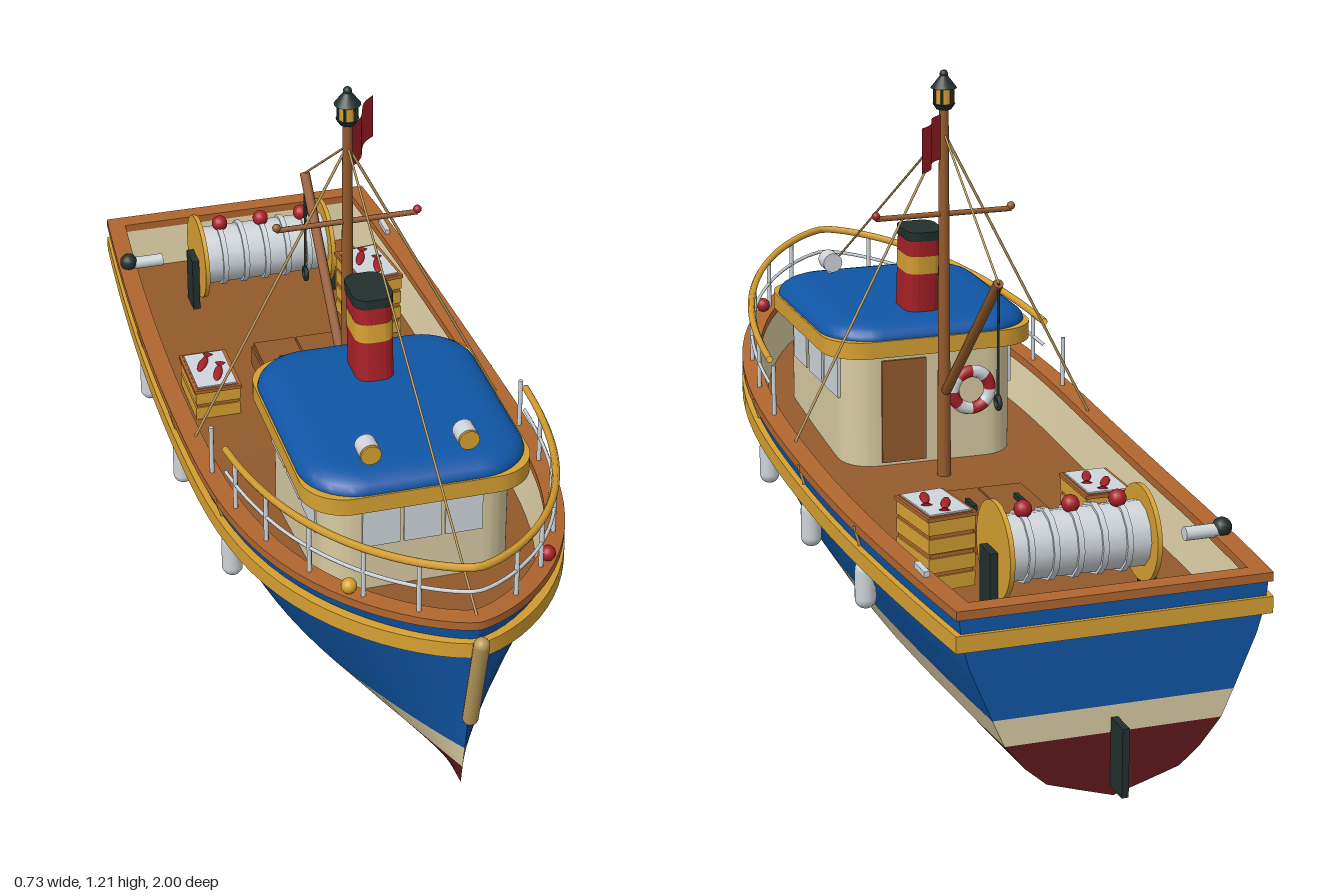
import * as THREE from 'three';
import { toCreasedNormals } from 'three/addons/utils/BufferGeometryUtils.js';

const V = (x, y, z) => new THREE.Vector3(x, y, z);
const paint = (name, color, side = THREE.FrontSide) =>
  Object.assign(new THREE.MeshStandardMaterial({ color, side }), { name });
const D = THREE.DoubleSide;
const blue = paint('hullBlue', 0x1056a6, D), maroon = paint('bottomRed', 0x5c181b, D);
const cream = paint('cream', 0xd8caa2, D), gold = paint('gold', 0xd6a032, D);
const deckWood = paint('deckWood', 0x945a2c, D), railWood = paint('railWood', 0xb0662f, D);
const red = paint('signalRed', 0xa82028, D), white = paint('paleGrey', 0xcfd5da);
const black = paint('darkIron', 0x22302d), rope = paint('rope', 0xb8985a);

// Hull form: t runs from stern (0) to bow (1), f from keel (0) to sheer (1)
const PROFILE = [[0, 0], [0.1, 0.43], [0.2, 0.58], [0.31, 0.7], [0.45, 0.78], [0.8, 0.97], [1, 1]];
const profile = f => {
  for (let i = 1; i < PROFILE.length; i++) {
    const [a, p] = PROFILE[i - 1], [b, q] = PROFILE[i];
    if (f <= b) return p + (q - p) * (f - a) / (b - a);
  }
  return 1;
};
const sheer = t => 0.408 + 0.13 * Math.max(0, (1.905 * t - 0.44) / 1.47) ** 2;
const keel = t => 0.005 + 0.085 * t ** 2.2;
const hullAt = (t, y) => {
  const f = Math.min(1, Math.max(0, (y - keel(t)) / (sheer(t) - keel(t))));
  const end = 0.88 + 0.085 * f, z = -0.94 + t * (end + 0.94);
  const u = Math.min(1, Math.max(0, z / end)), v = Math.max(0, -z / 0.94);
  const x = 0.352 * profile(f) * (1 - u ** (2 + f)) ** (1 - 0.3 * f) * (1 - 0.12 * v * v);
  return V(x, y, z);
};
// Point on the sheer line moved inward by o and up by dy
const edgeAt = (t, o, dy, s = 1) => {
  const p = hullAt(t, sheer(t));
  return V(s * p.x * (1 - o / 0.35), p.y + dy, p.z * (1 - o / 0.96));
};
const N = 32;
const stations = Array.from({ length: N + 1 }, (_, i) => 1 - (1 - i / N) ** 1.7);
const LOOP = [...stations.map(t => [t, 1]), ...stations.slice(0, -1).reverse().map(t => [t, -1]), [0, 1]];

function grid(nu, nv, fn) {
  const pos = [], idx = [];
  for (let i = 0; i <= nu; i++) for (let j = 0; j <= nv; j++) pos.push(...fn(i, j).toArray());
  for (let i = 0; i < nu; i++) for (let j = 0; j < nv; j++) {
    const a = i * (nv + 1) + j, b = a + nv + 1;
    idx.push(a, b, a + 1, b, b + 1, a + 1);
  }
  const g = new THREE.BufferGeometry();
  g.setAttribute('position', new THREE.Float32BufferAttribute(pos, 3));
  g.setIndex(idx);
  return toCreasedNormals(g, 0.6);
}
// Sweep a section of [inset, height] pairs round the sheer line
const belt = sec => grid(LOOP.length - 1, sec.length - 1, (i, j) => edgeAt(LOOP[i][0], sec[j][0], sec[j][1], LOOP[i][1]));

// Rounded rectangle slab lying flat, base at y = 0
function roundRect(w, l, r) {
  const s = new THREE.Shape(), x = w / 2, y = l / 2;
  s.moveTo(x - r, -y).absarc(x - r, -y + r, r, -Math.PI / 2, 0);
  s.absarc(x - r, y - r, r, 0, Math.PI / 2).absarc(-x + r, y - r, r, Math.PI / 2, Math.PI);
  s.absarc(-x + r, -y + r, r, Math.PI, Math.PI * 1.5);
  return s;
}
const slab = (w, l, r, h, bevel = {}) => toCreasedNormals(new THREE.ExtrudeGeometry(roundRect(w, l, r),
  { depth: h, bevelEnabled: false, curveSegments: 8, ...bevel }).rotateX(-Math.PI / 2), 0.6);
const box = (x, y, z) => new THREE.BoxGeometry(x, y, z);
const cyl = (r, h, r2 = r, n = 16) => new THREE.CylinderGeometry(r2, r, h, n);
const ball = r => new THREE.SphereGeometry(r, 14, 10);

export function createModel() {
  const boat = new THREE.Group();
  boat.name = 'fishingBoat';
  const add = (name, geo, mat, x = 0, y = 0, z = 0, parent = boat) => {
    const m = new THREE.Mesh(geo, mat);
    m.name = name;
    m.position.set(x, y, z);
    parent.add(m);
    return m;
  };
  const rod = (name, a, b, r, mat) => {
    const m = add(name, cyl(r, a.distanceTo(b), r, 8), mat);
    m.position.copy(a).lerp(b, 0.5);
    m.quaternion.setFromUnitVectors(V(0, 1, 0), b.clone().sub(a).normalize());
    return m;
  };
  const tube = (name, pts, r, mat) =>
    add(name, new THREE.TubeGeometry(new THREE.CatmullRomCurve3(pts), 72, r, 6), mat);

  // Hull in three painted bands, with the transom
  const bands = [
    ['hullBottom', maroon, [0, 0.15, 0.32, 0.6, 1], keel, () => 0.135],
    ['waterlineBand', cream, [0, 1], () => 0.135, () => 0.19],
    ['hullTopsides', blue, [0, 0.25, 0.5, 0.75, 1], () => 0.19, sheer]];
  for (const [name, mat, rows, lo, hi] of bands) {
    const at = (t, j, s) => {
      const p = hullAt(t, lo(t) + (hi(t) - lo(t)) * rows[j]);
      p.x *= s;
      return p;
    };
    for (const s of [1, -1])
      add(name, grid(N, rows.length - 1, (i, j) => at(stations[s > 0 ? N - i : i], j, s)), mat);
    add(name + 'Transom', grid(1, rows.length - 1, (i, j) => at(0, j, i ? -1 : 1)), mat);
  }
  add('rubbingBand', belt([[0.03, -0.038], [-0.008, -0.038], [-0.008, -0.072], [0.03, -0.072]]), gold);
  add('capRail', belt([[0.034, -0.008], [0.034, 0.01], [-0.007, 0.01], [-0.007, -0.008], [0.034, -0.008]]), railWood);
  add('bulwark', belt([[0.05, -0.1], [0.03, 0]]), cream);
  add('deck', grid(N, 1, (i, j) => edgeAt(stations[i], 0.045, -0.1, j ? 1 : -1)), deckWood);
  add('rudder', box(0.014, 0.14, 0.065), black, 0, 0.095, -0.967);

  // Bow stem fender and side fenders
  const stem = add('stemFender', new THREE.CapsuleGeometry(0.016, 0.22, 6, 12), rope, 0, 0.395, 0.955);
  stem.rotation.x = 0.25;
  for (const s of [1, -1]) for (const [z, y] of [[0.31, 0.31], [-0.07, 0.295], [-0.43, 0.288]]) {
    const t = (z + 0.94) / 1.9, x = hullAt(t, y).x + 0.015;
    add('sideFender', new THREE.CapsuleGeometry(0.022, 0.058, 6, 12), white, s * x, y, z);
    rod('fenderLine', V(s * x, y + 0.04, z), edgeAt(t, -0.009, 0.005, s), 0.003, rope);
  }

  // Bow railing
  const arc = LOOP.filter(([t]) => t >= 0.6).slice(0, -1);
  const line = dy => arc.map(([t, s]) => edgeAt(t, 0.016, dy, s));
  tube('railingTop', line(0.12), 0.008, gold);
  tube('railingMiddle', line(0.065), 0.004, white);
  for (const s of [1, -1]) {
    for (const t of [0.605, 0.69, 0.77, 0.85, 0.92, 0.97])
      rod('railingPost', edgeAt(t, 0.016, 0, s), edgeAt(t, 0.016, 0.12, s), 0.005, white);
    const p = edgeAt(0.905, 0.01, 0.025, s);
    add('sideLight', ball(0.016), s > 0 ? red : gold, p.x, p.y, p.z);
  }

  // Wheelhouse
  add('wheelhouseWalls', slab(0.39, 0.47, 0.07, 0.27), cream, 0, 0.325, 0.365);
  add('roofRim', slab(0.47, 0.54, 0.09, 0.037), gold, 0, 0.588, 0.36);
  add('roof', slab(0.33, 0.4, 0.05, 0.002,
    { bevelEnabled: true, bevelThickness: 0.034, bevelSize: 0.066, bevelSegments: 6 }), blue, 0, 0.623, 0.36);
  for (const s of [1, -1]) {
    for (const z of [0.47, 0.35, 0.23]) add('sideWindow', box(0.008, 0.095, 0.1), white, s * 0.195, 0.528, z);
    add('searchlight', cyl(0.022, 0.04).rotateX(Math.PI / 2), white, s * 0.1, 0.685, 0.555);
    add('searchlightLens', cyl(0.021, 0.006).rotateX(Math.PI / 2), gold, s * 0.1, 0.685, 0.577);
    add('searchlightFoot', cyl(0.008, 0.04), white, s * 0.1, 0.655, 0.555);
  }
  for (const x of [-0.085, 0, 0.085]) add('frontWindow', box(0.077, 0.09, 0.008), white, x, 0.533, 0.6);
  add('door', box(0.1, 0.23, 0.009), deckWood, 0.065, 0.455, 0.129);
  for (let i = 0; i < 8; i++) {
    const g = new THREE.TorusGeometry(0.042, 0.014, 8, 5, Math.PI / 4).rotateZ(i * Math.PI / 4);
    add('lifebuoy', g, i % 2 ? red : white, -0.085, 0.49, 0.115);
  }

  // Raked funnel in coloured bands
  const funnel = new THREE.Group();
  funnel.name = 'funnel';
  boat.add(funnel);
  const rake = new THREE.Matrix4().set(1, 0, 0, 0, 0, 1, 0, 0, 0, -0.1, 1, 0, 0, 0, 0, 1);
  for (const [y0, y1, mat, w] of [[0.64, 0.745, red, 0.08], [0.745, 0.785, gold, 0.081], [0.785, 0.82, red, 0.08], [0.82, 0.84, black, 0.084]])
    add('funnelBand', slab(w, w + 0.03, 0.028, y1 - y0).translate(0, y0 - 0.65, 0).applyMatrix4(rake), mat, 0, 0.65, 0.228, funnel);

  // Mast, lantern, spar, boom and rigging
  const mz = 0.05;
  add('mast', cyl(0.015, 0.84, 0.01), deckWood, 0, 0.72, mz);
  add('lanternBase', cyl(0.016, 0.012, 0.024), black, 0, 1.136, mz);
  add('lanternGlass', cyl(0.019, 0.036), gold, 0, 1.158, mz);
  for (let i = 0; i < 6; i++)
    add('lanternBar', box(0.005, 0.036, 0.005), black, 0.02 * Math.cos(i * Math.PI / 3), 1.158, mz + 0.02 * Math.sin(i * Math.PI / 3));
  add('lanternCap', cyl(0.028, 0.026, 0.008), black, 0, 1.188, mz);
  add('lanternKnob', ball(0.009), black, 0, 1.204, mz);
  rod('crossSpar', V(-0.15, 0.905, mz), V(0.15, 0.905, mz), 0.006, deckWood);
  for (const s of [1, -1]) add('sparLight', ball(0.009), s > 0 ? red : deckWood, s * 0.15, 0.911, mz);
  const tip = V(0, 0.84, -0.29), head = V(0, 1.08, mz);
  rod('boom', V(0, 0.52, 0.035), tip, 0.011, deckWood);
  rod('boomStay', head, tip, 0.0025, rope);
  rod('foreStay', head, V(0, 0.545, 0.95), 0.0025, rope);
  for (const s of [1, -1]) rod('shroud', head, V(s * 0.335, 0.43, mz), 0.003, rope);
  rod('hoistLine', tip, V(0, 0.605, -0.29), 0.003, black);
  add('hoistRing', new THREE.TorusGeometry(0.013, 0.005, 8, 16).rotateY(Math.PI / 2), black, 0, 0.59, -0.29);

  // Waving flag with a star on both faces
  const flagPoint = (u, y, lift = 0) => {
    const wave = 0.007 * Math.sin(u * 6.3) + lift;
    return V(0.01 + 0.08 * u + wave * 0.83, y, mz - 0.008 - 0.118 * u + wave * 0.56);
  };
  add('flag', grid(14, 1, (i, j) => flagPoint(i / 14, j ? 1.12 : 1.025)), red);
  for (const lift of [0.003, -0.003]) {
    const star = grid(10, 1, (i, j) => {
      const r = j * (i % 2 ? 0.011 : 0.027), a = Math.PI / 2 + i * Math.PI / 5;
      return flagPoint(0.5 + r * Math.cos(a) / 0.14, 1.072 + r * Math.sin(a), lift);
    });
    add('flagStar', star, gold);
  }

  // Net winch with ribbed drum and floats
  const wz = -0.695, wy = 0.432;
  for (let i = 0; i < 6; i++) {
    add('netDrum', cyl(0.066, 0.05, 0.066, 12).rotateZ(Math.PI / 2), white, -0.125 + i * 0.05, wy, wz);
    if (i) add('netRib', cyl(0.072, 0.012, 0.072, 12).rotateZ(Math.PI / 2), white, -0.15 + i * 0.05, wy, wz);
  }
  for (const s of [1, -1]) {
    add('drumFlange', cyl(0.097, 0.01, 0.097, 24).rotateZ(Math.PI / 2), gold, s * 0.15, wy, wz);
    add('winchStand', box(0.016, 0.13, 0.06), black, s * 0.164, 0.37, wz);
  }
  for (const x of [-0.097, 0, 0.097]) add('netFloat', ball(0.018), red, x, wy + 0.077, wz - 0.005);
  for (const r of [0.05, 0.034])
    add('ropeCoil', new THREE.TorusGeometry(r, 0.01, 8, 24).rotateX(Math.PI / 2), rope, -0.06, 0.32, -0.83);
  add('railRoller', cyl(0.014, 0.075).rotateZ(Math.PI / 2), white, -0.27, 0.425, -0.715);
  add('railRollerHub', ball(0.02), black, -0.312, 0.43, -0.715);
  add('cleat', box(0.012, 0.012, 0.06), white, 0.31, 0.423, -0.73);

  // Cargo hatch
  add('hatchCoaming', box(0.2, 0.05, 0.235), deckWood, 0, 0.33, -0.278);
  for (const s of [1, -1]) {
    add('hatchCover', box(0.094, 0.014, 0.222), deckWood, s * 0.049, 0.36, -0.278);
    add('hatchHandle', box(0.01, 0.014, 0.05), black, s * 0.053, 0.371, -0.278);
  }

  // Fish crates, one of them stacked
  for (const [x, z, turn, tiers] of [[0.205, -0.5, 0.12, 2], [-0.225, -0.27, 0, 1]]) {
    const crate = new THREE.Group();
    crate.name = 'fishCrate';
    crate.position.set(x, 0.31, z);
    crate.rotation.y = turn;
    boat.add(crate);
    for (let i = 0; i < tiers; i++) for (const y of [0.018, 0.056]) {
      add('crateSlat', box(0.1, 0.03, 0.15), gold, 0, y + i * 0.078, 0, crate);
      add('crateEdge', box(0.094, 0.008, 0.144), railWood, 0, y + 0.019 + i * 0.078, 0, crate);
    }
    const top = tiers * 0.078;
    add('crateRim', box(0.106, 0.008, 0.156), railWood, 0, top - 0.004, 0, crate);
    add('crateIce', box(0.088, 0.006, 0.138), white, 0, top + 0.001, 0, crate);
    for (const [fx, fz, a] of [[-0.012, -0.02, 0.5], [0.012, 0.025, 0.35]]) {
      const fish = add('fish', ball(0.012).scale(0.8, 0.5, 2.6), red, fx, top + 0.006, fz, crate);
      fish.rotation.y = -a;
      add('fishTail', new THREE.ConeGeometry(0.012, 0.02, 4).rotateX(Math.PI / 2).scale(1, 0.3, 1), red, 0, 0, -0.034, fish);
    }
  }
  return boat;
}
